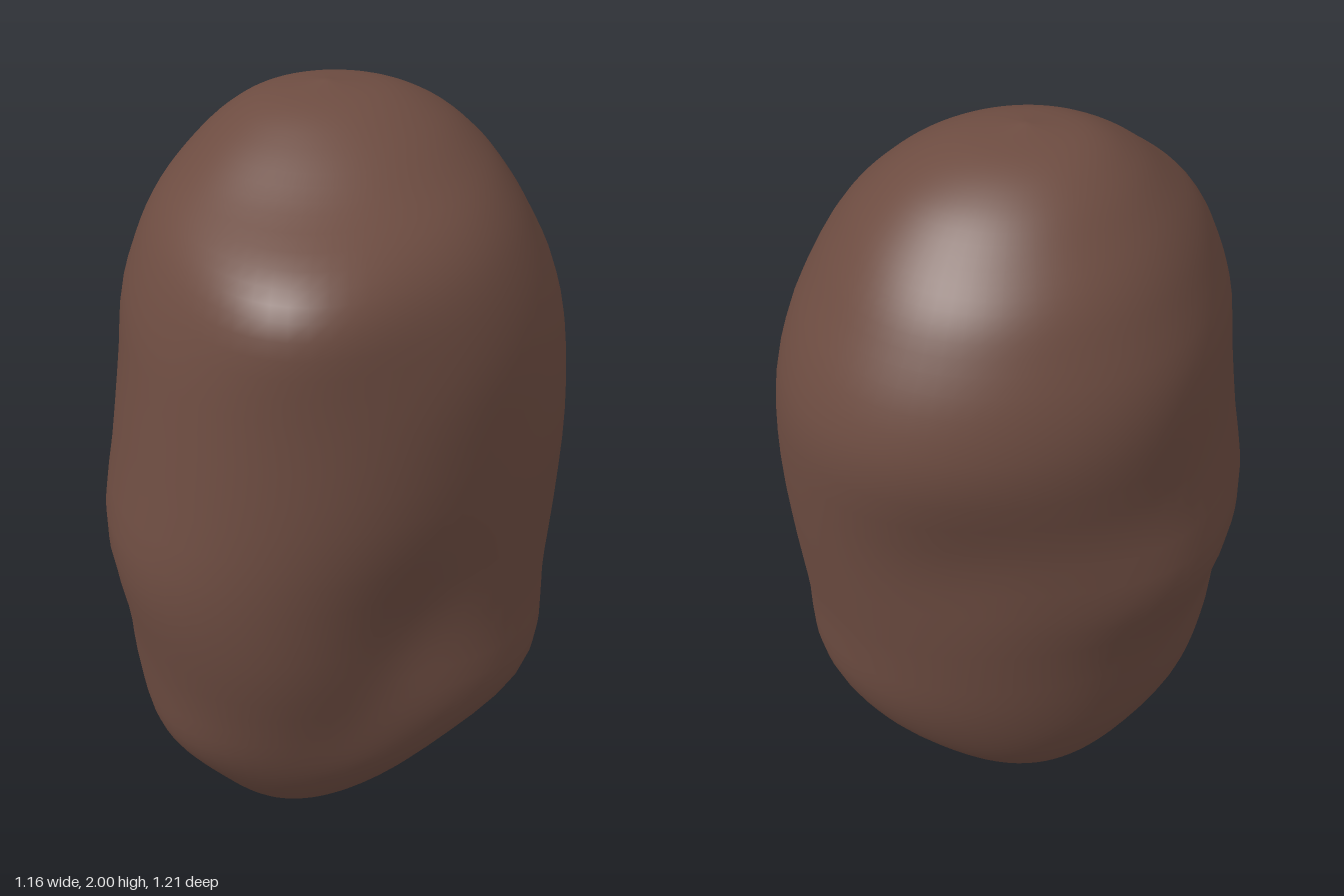
import * as THREE from 'three';

// Height, then the left, right, back and front limits of each cross-section
const ROWS = [
  [0.00, -0.10, -0.10, 0.07, 0.07],
  [0.027, -0.225, 0.06, -0.085, 0.205],
  [0.10, -0.31, 0.165, -0.20, 0.31],
  [0.22, -0.40, 0.30, -0.305, 0.40],
  [0.36, -0.485, 0.45, -0.385, 0.475],
  [0.52, -0.525, 0.535, -0.44, 0.53],
  [0.72, -0.55, 0.55, -0.475, 0.58],
  [0.94, -0.585, 0.57, -0.52, 0.60],
  [1.16, -0.555, 0.58, -0.56, 0.607],
  [1.38, -0.53, 0.565, -0.60, 0.60],
  [1.54, -0.515, 0.525, -0.58, 0.58],
  [1.67, -0.475, 0.465, -0.53, 0.545],
  [1.76, -0.43, 0.41, -0.48, 0.47],
  [1.84, -0.365, 0.345, -0.405, 0.335],
  [1.92, -0.28, 0.25, -0.31, 0.205],
  [1.975, -0.18, 0.13, -0.195, 0.085],
  [2.00, -0.03, -0.03, -0.05, -0.05],
];

// Soft lumps (positive) and hollows (negative): x, y, z, amount, radius
const BUMPS = [
  [0.20, 0.75, 0.45, -0.075, 0.26],  // front hollow
  [0.02, 0.45, 0.48, -0.025, 0.18],  // lower end of the front hollow
  [0.44, 0.46, 0.15, 0.03, 0.18],    // lower side lump
  [0.18, 0.20, 0.25, 0.02, 0.18],    // fullness under the front
  [-0.46, 0.92, -0.33, 0.055, 0.25], // back side lump
  [-0.38, 1.45, -0.40, 0.026, 0.30], // rear upper fullness
  [0.08, 1.08, -0.52, -0.03, 0.22],  // back hollow
  [0.42, 1.20, 0.38, -0.025, 0.28],  // flattened front side
  [-0.53, 0.80, 0.20, -0.02, 0.15],  // side groove
  [-0.35, 0.92, 0.48, 0.02, 0.26],   // front ridge
  [-0.36, 0.38, 0.36, 0.025, 0.18],  // lower front corner
  [-0.36, 1.66, 0.38, -0.02, 0.22],  // rounding beside the shoulder
  [-0.05, 1.68, 0.52, 0.05, 0.20],   // front shoulder
];

const RINGS = 72;
const SIDES = 72;

function createBodyGeometry() {
  const low = new THREE.CatmullRomCurve3(
    ROWS.map(([y, l, , b]) => new THREE.Vector3(l, y, b)), false, 'catmullrom', 0.5);
  const high = new THREE.CatmullRomCurve3(
    ROWS.map(([y, , r, , f]) => new THREE.Vector3(r, y, f)), false, 'catmullrom', 0.5);
  const positions = [];
  const index = [];

  // Oval rings leaning toward one diagonal, pushed in and out by the bumps
  for (let i = 1; i < RINGS; i++) {
    // Closer ring spacing near the two ends
    const s = i / RINGS;
    const u = s - Math.sin(s * Math.PI * 2) * 0.1;
    const a = low.getPoint(u);
    const b = high.getPoint(u);
    const c = a.clone().add(b).multiplyScalar(0.5);
    const slant = 0.105 - 0.03 * a.y;
    for (let j = 0; j < SIDES; j++) {
      const t = (j / SIDES) * Math.PI * 2;
      const p = new THREE.Vector3(
        c.x + (b.x - a.x) / 2 * Math.cos(t + slant),
        a.y,
        c.z + (b.z - a.z) / 2 * Math.sin(t - slant));
      const out = p.clone().sub(c).normalize();
      let push = 0;
      for (const [x, y, z, amount, radius] of BUMPS) {
        const d2 = (p.x - x) ** 2 + (p.y - y) ** 2 + (p.z - z) ** 2;
        push += amount * Math.exp(-d2 / (radius * radius));
      }
      p.addScaledVector(out, push);
      positions.push(p.x, p.y, p.z);
    }
  }

  // Sides
  for (let i = 0; i < RINGS - 2; i++) {
    for (let j = 0; j < SIDES; j++) {
      const k = (j + 1) % SIDES;
      const p = i * SIDES + j, q = i * SIDES + k;
      index.push(p, p + SIDES, q, q, p + SIDES, q + SIDES);
    }
  }

  // Closed bottom and top
  const bottom = (RINGS - 1) * SIDES;
  const last = (RINGS - 2) * SIDES;
  positions.push(...low.getPoint(0).toArray(), ...low.getPoint(1).toArray());
  for (let j = 0; j < SIDES; j++) {
    const k = (j + 1) % SIDES;
    index.push(bottom, j, k, bottom + 1, last + k, last + j);
  }

  const geometry = new THREE.BufferGeometry();
  geometry.setAttribute('position', new THREE.Float32BufferAttribute(positions, 3));
  geometry.setIndex(index);
  geometry.computeVertexNormals();
  return geometry;
}

export function createModel() {
  const brown = new THREE.MeshStandardMaterial({ color: 0x6d4c41 });
  brown.name = 'earthy brown';
  const body = new THREE.Mesh(createBodyGeometry(), brown);
  body.name = 'lumpy body';
  const group = new THREE.Group();
  group.name = 'lumpy stone';
  group.add(body);
  return group;
}
